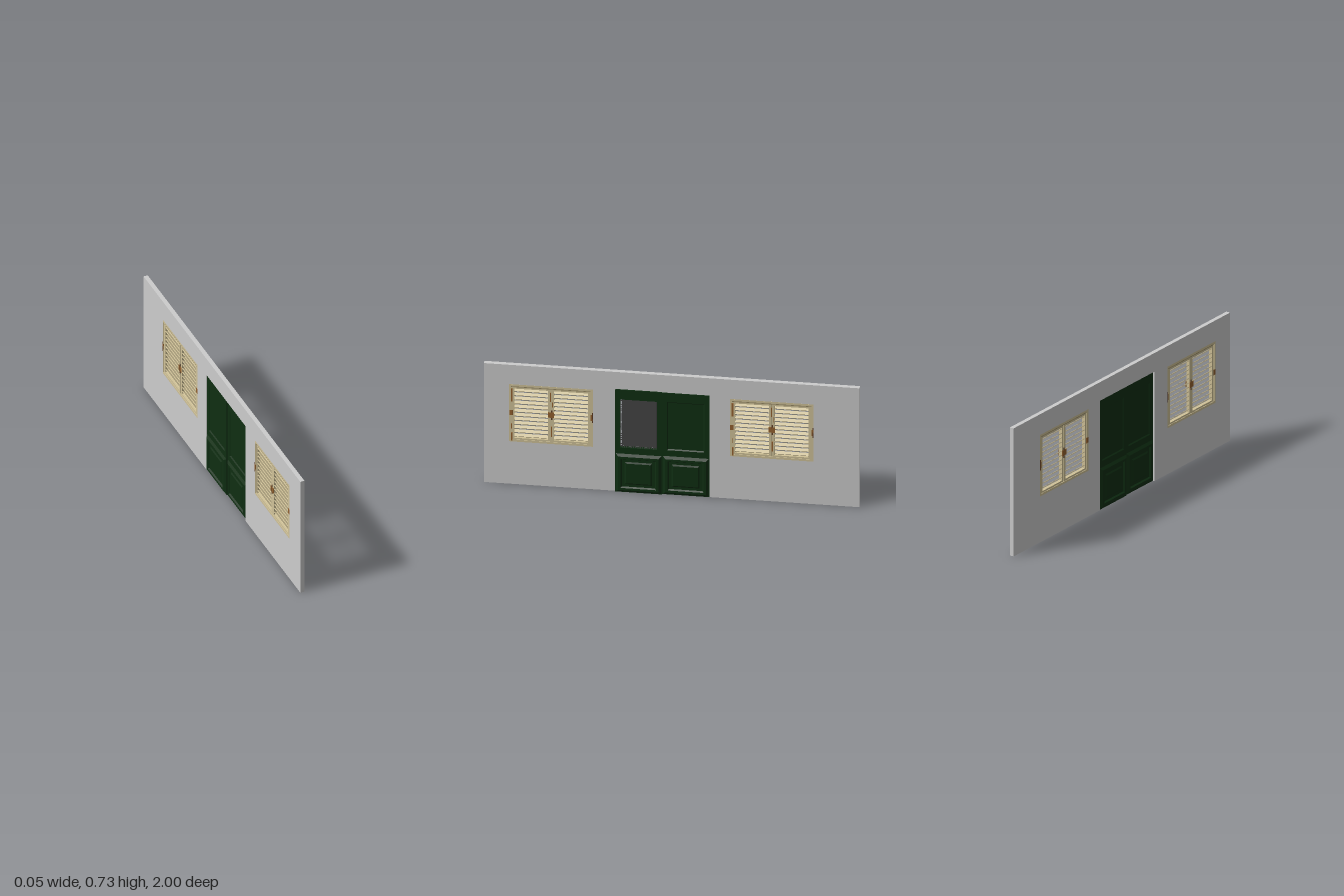
import * as THREE from 'three';

const mat = (name, color, extra = {}) => {
  const m = new THREE.MeshStandardMaterial({ color, ...extra });
  m.name = name;
  return m;
};

export function createModel() {
  const plaster = mat('wall plaster', 0xcccccc);
  const green = mat('door green', 0x0f2e12, { flatShading: true });
  const cream = mat('shutter cream', 0xd0c298);
  const shade = mat('shutter worn edge', 0x938661);
  const rust = mat('rust', 0x94622f);
  const darkRust = mat('dark rust', 0x5a3a22);
  const mesh = mat('screen grey', 0x454545, { side: THREE.DoubleSide });

  const model = new THREE.Group();
  model.name = 'shopfrontWall';

  // Box given by its limits on each axis
  const box = (parent, name, m, x0, x1, y0, y1, z0, z1) => {
    const b = new THREE.Mesh(new THREE.BoxGeometry(x1 - x0, y1 - y0, z1 - z0), m);
    b.position.set((x0 + x1) / 2, (y0 + y1) / 2, (z0 + z1) / 2);
    b.name = name;
    parent.add(b);
    return b;
  };

  // Moulded rectangle: nested rectangles [inset, x] joined by slopes, last one capped
  const relief = (parent, name, side, y0, y1, z0, z1, levels) => {
    const rings = levels.map(([d, x]) => [
      [x, y0 + d, z1 - d], [x, y0 + d, z0 + d], [x, y1 - d, z0 + d], [x, y1 - d, z1 - d],
    ]);
    const pos = [];
    const quad = (a, b, c, d) => {
      const order = side > 0 ? [a, b, c, a, c, d] : [a, c, b, a, d, c];
      order.forEach((p) => pos.push(...p));
    };
    for (let k = 0; k + 1 < rings.length; k++) {
      for (let i = 0; i < 4; i++) {
        const j = (i + 1) % 4;
        quad(rings[k][i], rings[k][j], rings[k + 1][j], rings[k + 1][i]);
      }
    }
    quad(...rings[rings.length - 1]);
    const g = new THREE.BufferGeometry();
    g.setAttribute('position', new THREE.Float32BufferAttribute(pos, 3));
    g.computeVertexNormals();
    const r = new THREE.Mesh(g, green);
    r.name = name;
    parent.add(r);
  };

  const BACK = -0.018, FRONT = 0.006;
  const windowCentres = [0.6425, -0.5325];
  const W = 0.445, Y0 = 0.26, Y1 = 0.61;

  // Wall with a door notch and two window holes
  const outline = new THREE.Shape();
  [[-1, 0], [-0.2, 0], [-0.2, 0.622], [0.3, 0.622], [0.3, 0], [1, 0], [1, 0.728], [-1, 0.728]]
    .forEach(([z, y], i) => (i ? outline.lineTo(z, y) : outline.moveTo(z, y)));
  for (const c of windowCentres) {
    const h = new THREE.Path();
    h.moveTo(c - W / 2, Y0);
    h.lineTo(c - W / 2, Y1);
    h.lineTo(c + W / 2, Y1);
    h.lineTo(c + W / 2, Y0);
    h.closePath();
    outline.holes.push(h);
  }
  const wallGeo = new THREE.ExtrudeGeometry(outline, { depth: FRONT - BACK, bevelEnabled: false });
  wallGeo.rotateY(-Math.PI / 2);
  const wall = new THREE.Mesh(wallGeo, plaster);
  wall.position.x = FRONT;
  wall.name = 'wall';
  model.add(wall);

  // Louvred windows
  const addWindow = (c) => {
    const w = new THREE.Group();
    w.name = 'shutterWindow';
    w.position.z = c;
    model.add(w);
    const h = W / 2;
    const f0 = BACK, f1 = FRONT + 0.0005;
    // outer frame
    box(w, 'frameTop', cream, f0, f1, Y1 - 0.012, Y1, -h, h);
    box(w, 'frameSill', cream, f0, f1, Y0, Y0 + 0.012, -h, h);
    for (const s of [-1, 1]) {
      const a = s * h, b = s * (h - 0.011);
      box(w, 'frameSide', cream, f0, f1, Y0 + 0.012, Y1 - 0.012, Math.min(a, b), Math.max(a, b));
    }
    // worn line under the top of the frame
    box(w, 'frameShadowLine', shade, f0 + 0.001, f1 + 0.0005, Y1 - 0.016, Y1 - 0.012, -h + 0.011, h - 0.011);
    // two leaves
    for (const s of [-1, 1]) {
      const leaf = new THREE.Group();
      leaf.name = s > 0 ? 'leftLeaf' : 'rightLeaf';
      leaf.position.z = s * 0.1055;
      w.add(leaf);
      const e = 0.105, i = 0.09, x0 = -0.015, x1 = 0.004;
      for (const t of [-1, 1]) {
        box(leaf, 'stile', cream, x0, x1, Y0 + 0.012, Y1 - 0.016,
          Math.min(t * e, t * i), Math.max(t * e, t * i));
      }
      box(leaf, 'topRail', cream, x0, x1, Y1 - 0.027, Y1 - 0.016, -i, i);
      box(leaf, 'bottomRail', cream, x0, x1, Y0 + 0.012, Y0 + 0.022, -i, i);
      // slats slope down towards the outside
      const n = 12, lo = Y0 + 0.022, pitch = (Y1 - 0.027 - lo) / n;
      for (let k = 0; k < n; k++) {
        const y = lo + (k + 0.5) * pitch;
        const slat = box(leaf, 'slat', cream, -0.0145, 0.0035, y - 0.0022, y + 0.0022, -i, i);
        slat.rotation.z = -0.56;
      }
    }
    // hinges and centre latch, on both faces
    for (const x of [BACK - 0.0015, FRONT - 0.001]) {
      const p = (name, m, y, z, hh, ww) =>
        box(w, name, m, x, x + 0.0025, y - hh / 2, y + hh / 2, z - ww / 2, z + ww / 2);
      p('latch', rust, 0.437, 0, 0.032, 0.034);
      p('latchBolt', darkRust, 0.437, -0.003, 0.058, 0.008);
      p('leftHinge', rust, 0.437, h - 0.01, 0.03, 0.018);
      p('rightHinge', rust, 0.437, -h + 0.006, 0.036, 0.01);
      p('rightHingePin', darkRust, 0.437, -h + 0.002, 0.06, 0.004);
    }
    // rust streaks: [y, z, height, width]
    for (const [y, z, hh, ww] of [
      [0.545, h - 0.014, 0.08, 0.009], [0.29, h - 0.014, 0.05, 0.008], [0.355, h - 0.012, 0.03, 0.004],
      [0.545, 0.002, 0.055, 0.006], [0.335, -0.003, 0.06, 0.006], [0.5, -0.008, 0.03, 0.004],
    ]) {
      box(w, 'rustStreak', rust, 0.0035, FRONT + 0.001, y - hh / 2, y + hh / 2, z - ww / 2, z + ww / 2);
    }
  };
  windowCentres.forEach(addWindow);

  // Double door: the left leaf stands a little proud of the right one
  const addLeaf = (name, z0, z1, x0, x1, top, hasScreen) => {
    const d = new THREE.Group();
    d.name = name;
    model.add(d);
    const a = z0 + 0.025, b = z1 - 0.025, lo = 0.27, hi = 0.565;
    box(d, 'lowerSlab', green, x0, x1, 0, lo, z0, z1);
    box(d, 'topRail', green, x0, x1, hi, top, z0, z1);
    box(d, 'stile', green, x0, x1, lo, hi, z0, a);
    box(d, 'stile', green, x0, x1, lo, hi, b, z1);
    for (const s of [-1, 1]) {
      const x = s > 0 ? x1 : x0;
      // raised lower panel with chamfered edges
      relief(d, 'lowerPanel', s, 0.002, 0.234, z0 + 0.003, z1 - 0.003, [
        [0, x], [0.014, x + s * 0.01], [0.027, x + s * 0.01], [0.033, x + s * 0.002],
        [0.048, x + s * 0.002], [0.056, x + s * 0.007],
      ]);
      // recessed upper panel
      if (!(hasScreen && s > 0)) {
        relief(d, 'upperPanel', s, lo, hi, a, b, [[0, x], [0.006, x - s * 0.005], [0.016, x - s * 0.005]]);
      }
    }
    if (hasScreen) {
      // insect screen with a frayed border
      const x = 0.006;
      box(d, 'screen', mesh, x, x + 0.001, lo + 0.01, hi - 0.003, a + 0.003, b - 0.011);
      for (let k = 0; k < 24; k++) {
        const y = lo + 0.008 + k * 0.012;
        if (k % 5 !== 2) box(d, 'screenWire', mesh, x, x + 0.001, y, y + 0.005, b - 0.011, b);
      }
      for (let k = 0; k < 16; k++) {
        const z = a + 0.004 + k * 0.012;
        box(d, 'screenWire', mesh, x, x + 0.001, lo, lo + 0.01, z, z + 0.006);
      }
    }
  };
  addLeaf('leftDoorLeaf', 0.0515, 0.3, -0.008, 0.012, 0.624, true);
  addLeaf('rightDoorLeaf', -0.2, 0.0505, -0.014, 0.0065, 0.62, false);

  return model;
}
